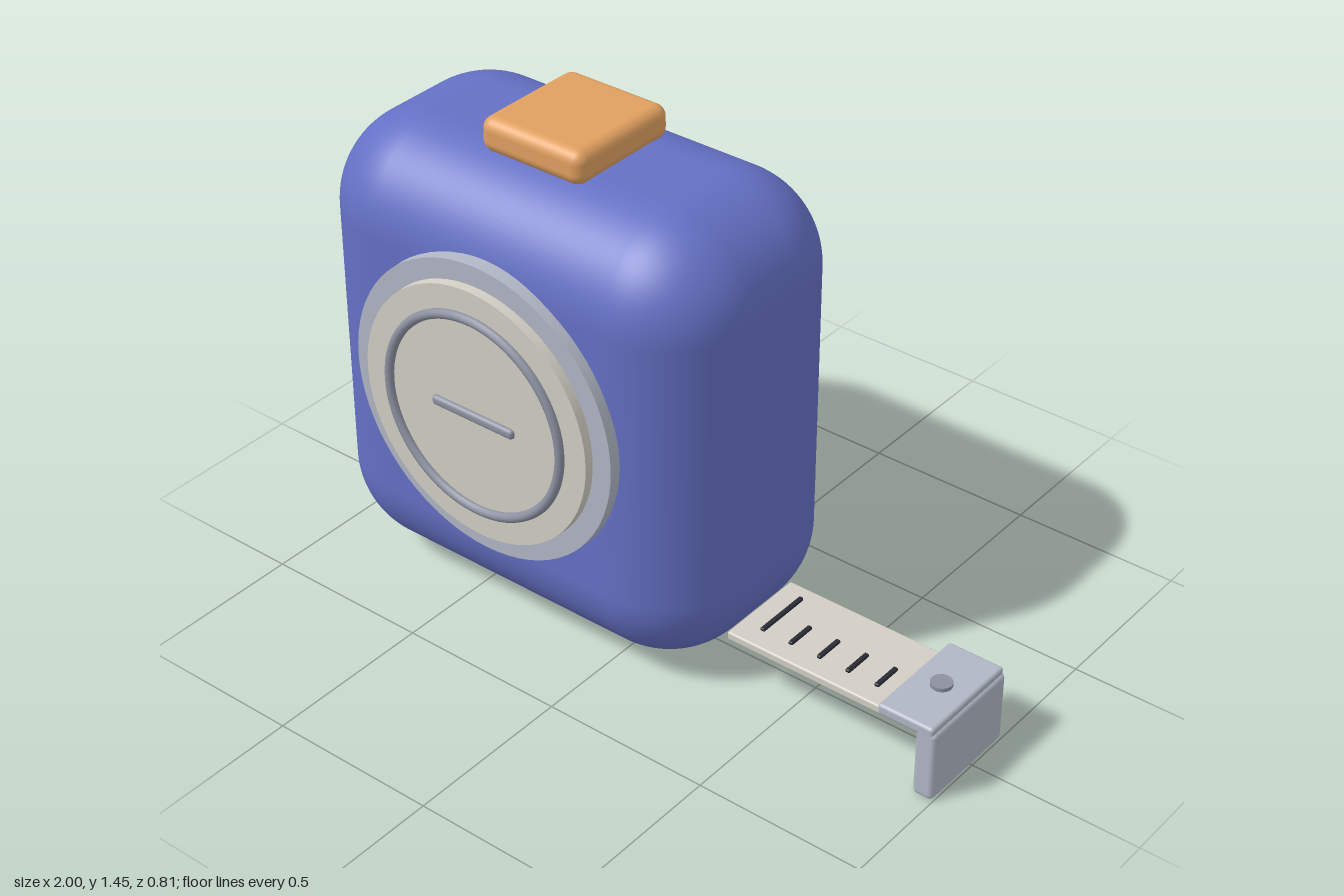
import * as THREE from 'three';
import { RoundedBoxGeometry } from 'three/addons/geometries/RoundedBoxGeometry.js';

const mat = (color) => new THREE.MeshStandardMaterial({ color });

export function createModel() {
  const model = new THREE.Group();
  model.name = 'tapeMeasure';
  const blue = mat(0x6470c4), orange = mat(0xe0a060), steel = mat(0xb0b6c4);
  const cream = mat(0xd2cec4), darkSteel = mat(0x8c90a0), ink = mat(0x2a2c36);

  const add = (parent, name, geometry, material, x, y, z) => {
    const mesh = new THREE.Mesh(geometry, material);
    mesh.name = name;
    mesh.position.set(x, y, z);
    parent.add(mesh);
    return mesh;
  };
  // Rounded box given by its min and max corners
  const block = (parent, name, material, [x0, y0, z0], [x1, y1, z1], radius, segments = 4) =>
    add(parent, name, new RoundedBoxGeometry(x1 - x0, y1 - y0, z1 - z0, segments, radius),
      material, (x0 + x1) / 2, (y0 + y1) / 2, (z0 + z1) / 2);

  // Case and lock button
  block(model, 'case', blue, [-1, 0.02, -0.405], [0.32, 1.36, 0.33], 0.27, 12);
  block(model, 'lockButton', orange, [-0.51, 1.345, -0.22], [-0.17, 1.445, 0.145], 0.035);

  // Round emblem on the front: two stacked discs, a ring and a bar
  const dial = new THREE.Group();
  dial.name = 'dial';
  dial.position.set(-0.34, 0.725, 0);
  model.add(dial);
  const disc = (name, material, rFront, rBack, z0, z1) => {
    add(dial, name, new THREE.CylinderGeometry(rFront, rBack, z1 - z0, 72), material, 0, 0, (z0 + z1) / 2)
      .rotation.x = Math.PI / 2;
  };
  disc('outerDisc', steel, 0.438, 0.44, 0.31, 0.36);
  disc('innerDisc', cream, 0.378, 0.38, 0.34, 0.387);
  add(dial, 'dialRing', new THREE.TorusGeometry(0.295, 0.014, 12, 72), darkSteel, 0, 0, 0.39);
  block(dial, 'dialBar', darkSteel, [-0.14, -0.015, 0.375], [0.14, 0.015, 0.4], 0.012);

  // Extended blade with its graduation marks
  const tape = new THREE.Group();
  tape.name = 'tape';
  model.add(tape);
  block(tape, 'blade', cream, [0.325, 0.18, -0.115], [0.95, 0.206, 0.165], 0.006, 2);
  for (let i = 0; i < 5; i++) {
    const x = 0.395 + i * 0.0915;
    block(tape, 'mark', ink, [x - 0.007, 0.2, i === 0 ? -0.07 : 0.015], [x + 0.007, 0.214, 0.105], 0.004, 2);
  }

  // End hook: top plate, downward lip and rivet
  const hook = new THREE.Group();
  hook.name = 'endHook';
  model.add(hook);
  block(hook, 'hookPlate', steel, [0.82, 0.198, -0.14], [0.99, 0.232, 0.185], 0.01, 3);
  block(hook, 'hookLip', steel, [0.936, 0, -0.14], [0.998, 0.215, 0.185], 0.014, 3);
  add(hook, 'rivet', new THREE.CylinderGeometry(0.03, 0.03, 0.025, 24), darkSteel, 0.905, 0.231, 0.022);

  return model;
}
